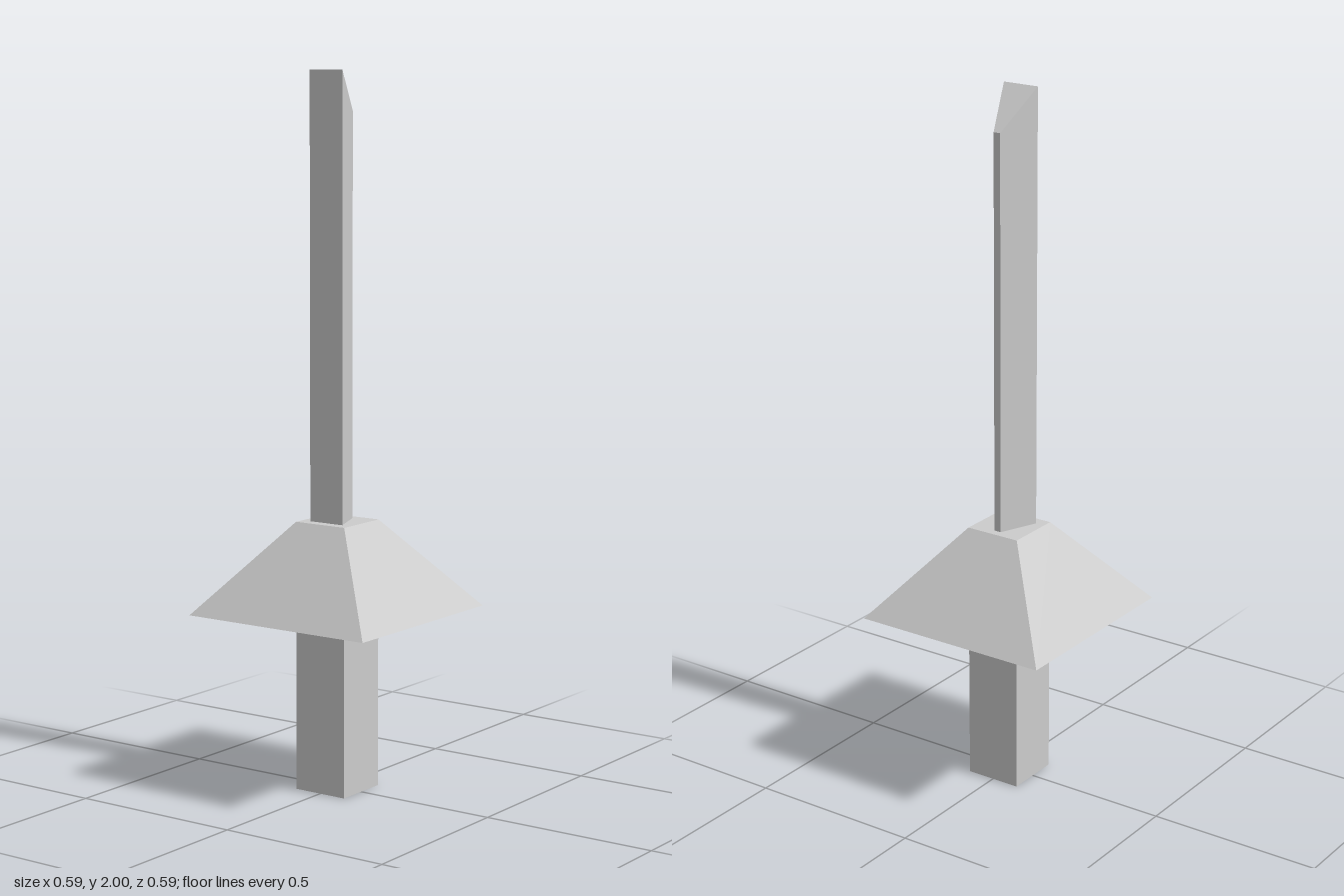
import * as THREE from 'three';

const material = new THREE.MeshStandardMaterial({ color: 0xcccccc, flatShading: true });

function addPart(group, name, geometry, y) {
  const mesh = new THREE.Mesh(geometry, material);
  mesh.name = name;
  mesh.position.y = y;
  group.add(mesh);
}

// Wedge-shaped blade: wide at the front, narrow at the back, tip cut on a slant
function bladeGeometry(height, drop) {
  const front = 0.052, back = -0.058;
  const section = new THREE.Shape([
    new THREE.Vector2(-0.055, -front),
    new THREE.Vector2(0.054, -front),
    new THREE.Vector2(0.01, -back),
    new THREE.Vector2(-0.011, -back),
  ]);
  const geometry = new THREE.ExtrudeGeometry(section, { depth: height, bevelEnabled: false });
  geometry.rotateX(-Math.PI / 2);
  const p = geometry.attributes.position;
  for (let i = 0; i < p.count; i++) {
    if (p.getY(i) > height / 2) {
      p.setY(i, height - drop * (front - p.getZ(i)) / (front - back));
    }
  }
  geometry.computeVertexNormals();
  return geometry;
}

export function createModel() {
  const group = new THREE.Group();
  group.name = 'sword';

  const gripTop = 0.508, guardTop = 0.762;

  // Square grip
  addPart(group, 'grip', new THREE.BoxGeometry(0.164, gripTop, 0.164), gripTop / 2);

  // Guard: a four-sided truncated pyramid
  const guard = new THREE.CylinderGeometry(
    0.082 * Math.SQRT2, 0.293 * Math.SQRT2, guardTop - gripTop, 4);
  guard.rotateY(Math.PI / 4);
  addPart(group, 'guard', guard, (gripTop + guardTop) / 2);

  addPart(group, 'blade', bladeGeometry(2 - guardTop, 0.11), guardTop);

  return group;
}
